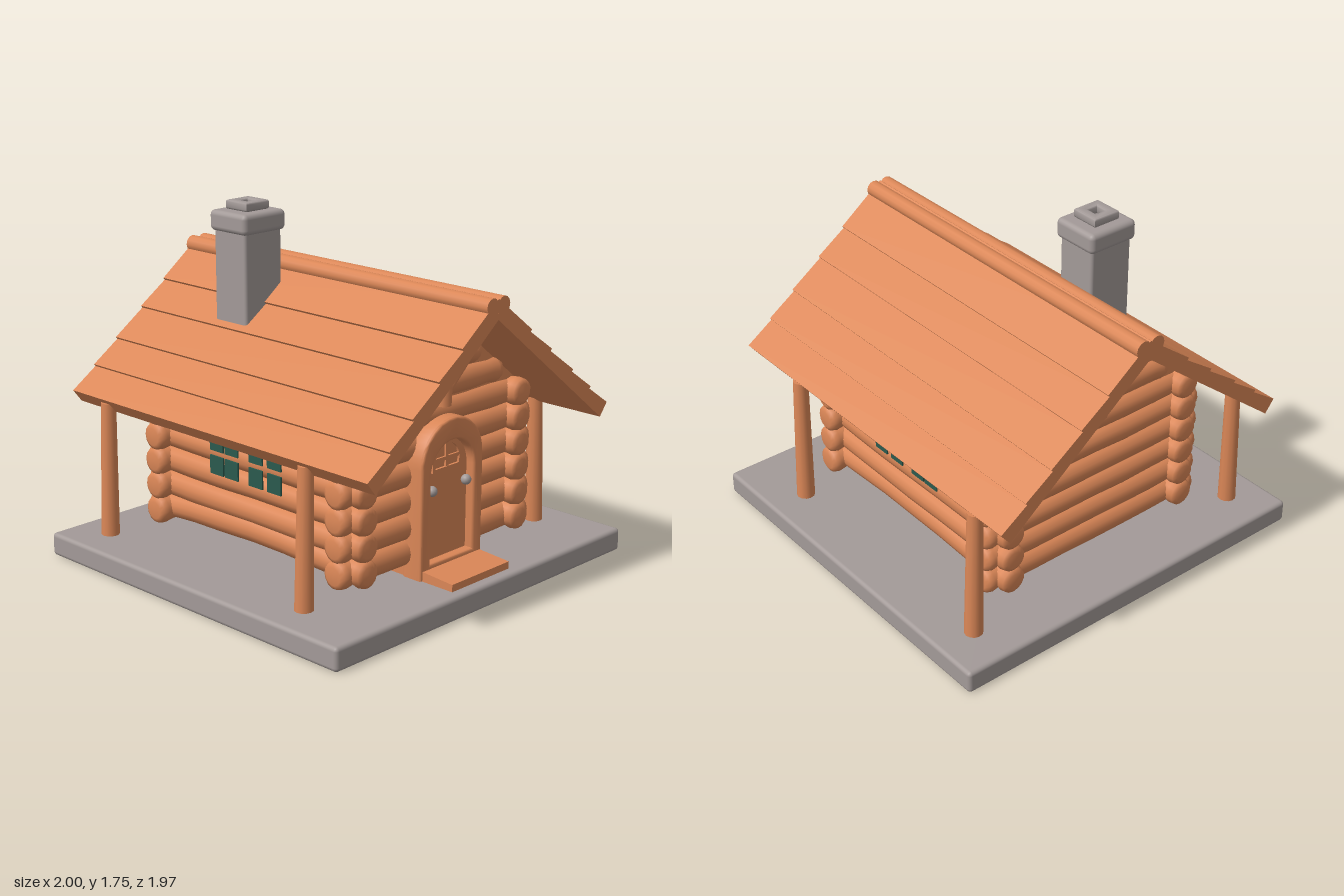
import * as THREE from 'three';
import { RoundedBoxGeometry } from 'three/addons/geometries/RoundedBoxGeometry.js';
import { toCreasedNormals } from 'three/addons/utils/BufferGeometryUtils.js';

const WALL_X = 0.53, WALL_Z = 0.61, LOG_R = 0.071, PITCH = 0.125;

let seed = 7;
const rand = () => (seed = (seed * 16807) % 2147483647) / 2147483647;

export function createModel() {
  const model = new THREE.Group();
  model.name = 'logCabin';
  const mat = (name, color) => Object.assign(new THREE.MeshStandardMaterial({ color }), { name });
  const wood = mat('wood', 0xdb8757);
  const stone = mat('stone', 0xa39a98);
  const glass = mat('windowGlass', 0x2a5a4e);

  function add(name, geo, material, x = 0, y = 0, z = 0, parent = model) {
    const mesh = new THREE.Mesh(geo, material);
    mesh.name = name;
    mesh.position.set(x, y, z);
    parent.add(mesh);
    return mesh;
  }
  const group = (name) => {
    const g = new THREE.Group();
    g.name = name;
    model.add(g);
    return g;
  };
  const rounded = (w, h, d, r) => new RoundedBoxGeometry(w, h, d, 2, r);

  // Rounded, slightly uneven log along x or z; lift raises the middle of it
  function logGeometry(length, axis, lift = 0) {
    const h = length / 2, r = LOG_R;
    const pts = [[0, -h], [r * 0.6, -h], [r * 0.9, -h + 0.012], [r, -h + 0.04], [r * 0.9, -h + 0.09]];
    for (let i = 1; i < 6; i++) pts.push([r * (0.92 + 0.08 * rand()), (-h + 0.09) * (1 - i / 3)]);
    pts.push([r * 0.9, h - 0.09], [r, h - 0.04], [r * 0.9, h - 0.012], [r * 0.6, h], [0, h]);
    const geo = new THREE.LatheGeometry(pts.map(p => new THREE.Vector2(...p)), 14);
    if (axis === 'x') geo.rotateZ(Math.PI / 2);
    else geo.rotateX(Math.PI / 2);
    if (lift) {
      const p = geo.attributes.position;
      for (let i = 0; i < p.count; i++) {
        const t = (axis === 'x' ? p.getX(i) : p.getZ(i)) / h;
        p.setY(i, p.getY(i) + lift * (1 - t * t));
      }
      geo.computeVertexNormals();
    }
    return geo;
  }

  // Pole between two points
  function pole(name, a, b, rTop, rBottom, parent) {
    const from = new THREE.Vector3(...a), to = new THREE.Vector3(...b);
    const dir = to.clone().sub(from);
    const mesh = add(name, new THREE.CylinderGeometry(rTop, rBottom, dir.length(), 12), wood, 0, 0, 0, parent);
    mesh.position.copy(from).add(to).multiplyScalar(0.5);
    mesh.quaternion.setFromUnitVectors(new THREE.Vector3(0, 1, 0), dir.normalize());
  }

  // Stone base
  add('base', rounded(2, 0.115, 1.95, 0.02), stone, 0, 0.0575, 0);

  // Log walls with crossing corners
  const walls = group('walls');
  for (let i = 0; i < 6; i++) {
    const y = 0.232 + PITCH * i;
    for (const s of [-1, 1]) {
      add('sideLog', logGeometry(1.44, 'z', i === 0 ? 0.035 : 0), wood, s * WALL_X, y, 0, walls);
      add('endLog', logGeometry(1.3, 'x'), wood, 0, y, s * WALL_Z, walls);
    }
  }

  // Gables: shrinking logs in front of a backing board, with a fan truss
  const gables = group('gables');
  const board = new THREE.Shape([[-0.55, 0.88], [0.55, 0.88], [0.55, 0.93], [0, 1.36], [-0.55, 0.93]]
    .map(p => new THREE.Vector2(...p)));
  for (const s of [-1, 1]) {
    const boardGeo = new THREE.ExtrudeGeometry(board, { depth: 0.06, bevelEnabled: false });
    add('gableBoard', boardGeo, wood, 0, 0, s * WALL_Z - 0.03, gables);
    [0.88, 0.56, 0.24].forEach((w, i) =>
      add('gableLog', logGeometry(w, 'x'), wood, 0, 0.982 + PITCH * i, s * WALL_Z, gables));
    const z = s * 0.68;
    pole('kingPost', [0, 0.9, z], [0, 1.38, z], 0.05, 0.035, gables);
    for (const m of [-1, 1]) {
      pole('outerBrace', [0, 0.96, z], [m * 0.23, 1.18, z], 0.03, 0.026, gables);
      pole('innerBrace', [0, 0.98, z], [m * 0.12, 1.26, z], 0.026, 0.024, gables);
    }
  }

  // Roof: one stepped profile for each slope
  const roof = group('roof');
  const rows = [-0.058, 0.24, 0.43, 0.64, 0.82, 0.99];
  const profile = new THREE.Shape();
  profile.moveTo(0, 0);
  profile.lineTo(rows[5], 0);
  for (let i = 5; i > 0; i--) {
    profile.lineTo(rows[i], 0.08);
    profile.lineTo(rows[i - 1], i === 1 ? 0.074 : 0.067);
  }
  const slope = new THREE.ExtrudeGeometry(profile, { depth: 1.97, bevelEnabled: false });
  slope.translate(0, 0, -0.985).rotateZ(-Math.atan(0.787));
  for (const turn of [0, Math.PI]) {
    add('roofSlope', slope, wood, 0, 1.352, 0, roof).rotation.y = turn;
    const x = turn ? -0.038 : 0.038;
    pole('ridgePole', [x, 1.415, -0.985], [x, 1.415, 0.985], 0.04, 0.042, roof);
  }

  // Posts under the eaves
  const posts = group('posts');
  for (const s of [-1, 1]) {
    for (const z of [0.585, -0.76]) {
      pole('eavePost', [s * 0.805, 0.11, z], [s * 0.79, 0.78, z], 0.037, 0.045, posts);
    }
  }

  // Chimney with rounded cap and hollow square top
  const chimney = group('chimney');
  chimney.position.set(-0.24, 0, -0.355);
  add('chimneyStack', rounded(0.235, 0.5, 0.215, 0.015), stone, 0, 1.38, 0, chimney);
  add('chimneyCap', rounded(0.27, 0.1, 0.25, 0.025), stone, 0, 1.65, 0, chimney);
  const square = (path, h) => path.moveTo(-h, -h).lineTo(h, -h).lineTo(h, h).lineTo(-h, h).closePath();
  const flue = square(new THREE.Shape(), 0.062);
  flue.holes.push(square(new THREE.Path(), 0.038));
  const flueGeo = new THREE.ExtrudeGeometry(flue, {
    depth: 0.025, bevelThickness: 0.01, bevelSize: 0.01, bevelSegments: 2,
  }).rotateX(-Math.PI / 2);
  add('chimneyFlue', toCreasedNormals(flueGeo, 0.9), stone, 0, 1.71, 0, chimney);

  // Arched door, frame and step
  const door = group('door');
  const arch = (path, w, bottom, spring) => {
    path.moveTo(-w, bottom).lineTo(w, bottom).lineTo(w, spring);
    path.absarc(0, spring, w, 0, Math.PI, false);
    return path.closePath();
  };
  const frame = arch(new THREE.Shape(), 0.2, 0.125, 0.645);
  frame.holes.push(arch(new THREE.Path(), 0.16, 0.17, 0.6));
  const extrude = (shape, depth, bevel) => toCreasedNormals(new THREE.ExtrudeGeometry(shape, {
    depth, bevelEnabled: bevel > 0, bevelThickness: bevel, bevelSize: bevel, bevelSegments: 2, curveSegments: 12,
  }), 0.8);
  add('doorFrame', extrude(frame, 0.09, 0.012), wood, 0, 0, 0.64, door);
  add('doorPanel', extrude(arch(new THREE.Shape(), 0.17, 0.12, 0.6), 0.09, 0), wood, 0, 0, 0.605, door);

  // Arched light in the door with crossing bars
  const light = arch(new THREE.Shape(), 0.1, 0.6, 0.645);
  light.holes.push(arch(new THREE.Path(), 0.082, 0.615, 0.645));
  add('doorLightRim', extrude(light, 0.015, 0), wood, 0, 0, 0.692, door);
  add('doorLightBar', new THREE.BoxGeometry(0.018, 0.14, 0.014), wood, 0, 0.67, 0.698, door);
  add('doorLightBar', new THREE.BoxGeometry(0.18, 0.018, 0.014), wood, 0, 0.655, 0.698, door);
  for (const s of [-1, 1]) add('doorKnob', new THREE.SphereGeometry(0.025, 14, 10), stone, s * 0.118, 0.525, 0.72, door);

  const step = new THREE.Shape([[-0.92, 0.11], [-0.33, 0.11], [-0.33, 0.14], [-0.7, 0.165], [-0.92, 0.15]]
    .map(p => new THREE.Vector2(...p)));
  const stepGeo = new THREE.ExtrudeGeometry(step, { depth: 0.4, bevelEnabled: false });
  stepGeo.translate(0, 0, -0.2).rotateY(Math.PI / 2);
  add('doorStep', stepGeo, wood, 0, 0, 0, door);

  // Paired windows of four panes on both side walls
  const windows = group('windows');
  for (const s of [-1, 1]) {
    for (const z of [0.193, 0.07, -0.094, -0.195]) {
      for (const y of [0.55, 0.665]) {
        add('windowPane', new THREE.BoxGeometry(0.008, 0.09, 0.09), glass, s * 0.604, y, z, windows);
      }
    }
  }
  return model;
}
